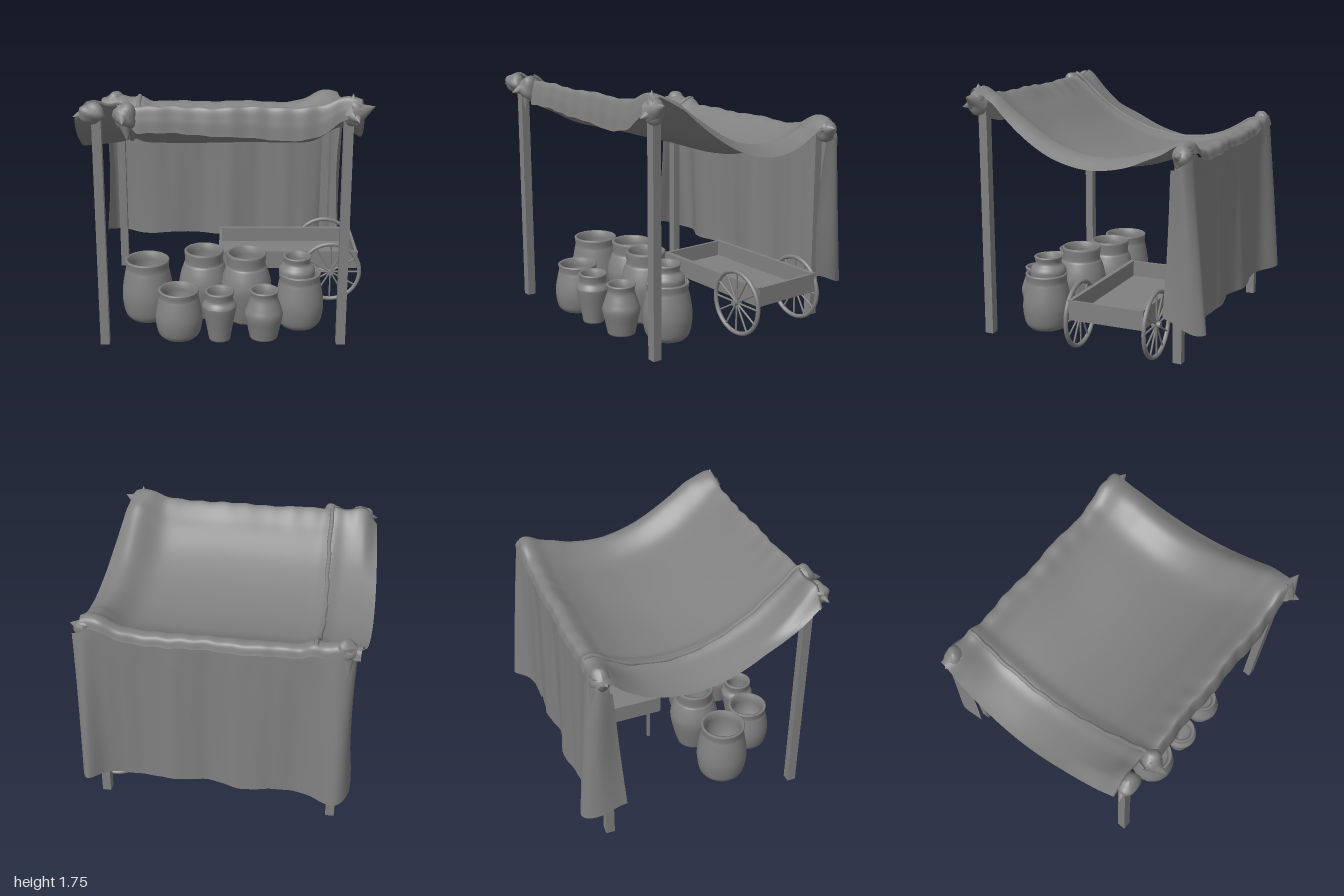
import * as THREE from 'three';

const COLOR = 0x808080;
const grey = new THREE.MeshStandardMaterial({ color: COLOR });
const greyThin = new THREE.MeshStandardMaterial({ color: COLOR, side: THREE.DoubleSide });
const { lerp, smoothstep, clamp } = THREE.MathUtils;
const bump = (d, w) => Math.exp(-(d * d) / (w * w));
const v3 = (x, y, z) => new THREE.Vector3(x, y, z);

function add(parent, name, geometry, x = 0, y = 0, z = 0, material = grey) {
  const m = new THREE.Mesh(geometry, material);
  m.name = name;
  m.position.set(x, y, z);
  parent.add(m);
  return m;
}
const box = (parent, name, w, h, d, x, y, z) => add(parent, name, new THREE.BoxGeometry(w, h, d), x, y, z);

// Cloth sheet: a grid whose points follow a rule fn(u, v)
function cloth(parent, name, nu, nv, fn) {
  const g = new THREE.PlaneGeometry(1, 1, nu, nv);
  const p = g.attributes.position;
  for (let i = 0; i < p.count; i++) {
    const q = fn(p.getX(i) + 0.5, 0.5 - p.getY(i));
    p.setXYZ(i, q.x, q.y, q.z);
  }
  g.computeVertexNormals();
  return add(parent, name, g, 0, 0, 0, greyThin);
}

// Front-to-back line of the canopy, starting with the front hem
const sag = new THREE.CatmullRomCurve3([
  [1.5, 0.785], [1.59, 0.775], [1.665, 0.745], [1.555, 0.6], [1.4, 0.4], [1.295, 0.2], [1.24, 0.03],
  [1.215, -0.15], [1.24, -0.4], [1.305, -0.58], [1.365, -0.695], [1.355, -0.75], [1.3, -0.77],
].map(([y, z]) => v3(0, y, z)));

function canopyPoint(u, v) {
  const q = sag.getPoint(v);
  const round = Math.max(0, 1 - (q.z / 0.77) ** 2);
  const x = lerp(-0.95 - 0.05 * round, 0.84 + 0.1 * round, u);
  let { y, z } = q;
  // left of the seam the front hem is pulled up; further right it hangs lower
  const left = 1 - smoothstep(x, -0.7, -0.55);
  if (v < 0.17) {
    y = lerp(y, 1.64, left);
    z = lerp(z, 0.72, left);
    y += (1 - v / 0.17) * (0.06 * smoothstep(x, 0.55, 0.8) - 0.04 * bump(x - 0.35, 0.35));
  }
  // ridges along seam and right side, with drooping edges
  const inner = 1 - 0.85 * smoothstep(z, 0.55, 0.75) - 0.7 * smoothstep(-z, 0.45, 0.7);
  y += 0.03 * bump(x + 0.65, 0.06) + (0.11 + 0.03 * bump(z - 0.4, 0.2)) * bump(x - 0.8, 0.14) * inner;
  y -= 0.02 * smoothstep(-x, 0.7, 1) * round;
  y -= 0.1 * smoothstep(-x, 0.87, 0.97) * smoothstep(z, 0.3, 0.75);
  // lifted by the posts, wrinkled along front and back
  for (const px of [-0.82, 0.77]) {
    y += 0.045 * bump(Math.hypot(x - px, z - 0.71), 0.12) + 0.055 * bump(Math.hypot(x - px, z + 0.7), 0.15);
  }
  const ends = smoothstep(Math.abs(z), 0.55, 0.76);
  y += ends * (0.006 * Math.sin(11 * x) + 0.003 * Math.sin(37 * x + 1)) + 0.003 * Math.sin(7 * x + 5 * z);
  z += ends * (0.006 * Math.sin(13 * x + 2) + 0.003 * Math.sin(41 * x));
  return v3(x, y, z);
}

// Curtain outlines in plan: wrapped round the back posts, flaring to the hem
const plan = (pts) => new THREE.CatmullRomCurve3(pts.map(([x, z]) => v3(x, 0, z)), false, 'centripetal');
const curtainTop = plan([[-0.93, -0.66], [-0.92, -0.74], [-0.84, -0.775], [-0.6, -0.755], [-0.25, -0.76], [0, -0.75],
  [0.25, -0.76], [0.5, -0.75], [0.7, -0.76], [0.84, -0.775], [0.91, -0.74], [0.89, -0.66]]);
const curtainHem = plan([[-0.94, -0.585], [-0.935, -0.78], [-0.85, -0.88], [-0.6, -0.775], [-0.25, -0.81], [0, -0.76],
  [0.25, -0.79], [0.5, -0.765], [0.7, -0.795], [0.84, -0.885], [0.895, -0.8], [0.88, -0.61]]);

function curtainPoint(u, v) {
  const p = curtainTop.getPoint(u).lerp(curtainHem.getPoint(u), Math.pow(v, 0.85));
  const wrap = clamp(bump(u, 0.09) + bump(u - 1, 0.07), 0, 1);
  const top = 1.325 + 0.06 * (bump(p.x + 0.82, 0.1) + bump(p.x - 0.77, 0.1)) - 0.05 * wrap;
  p.y = lerp(top, 0.255 + 0.085 * wrap + 0.006 * Math.sin(11 * p.x), v);
  p.z += (0.004 * Math.sin(17 * p.x + 1.5 * v) + 0.002 * Math.sin(43 * p.x)) * (1 - wrap) * smoothstep(v, 0, 0.2);
  p.x -= Math.sign(p.x) * wrap * 0.025 * Math.sin(Math.PI * v);
  return p;
}

// Cloth draped and gathered round a post top
function bunch(parent, name, seed, x, y, z, sx, sy, sz) {
  const g = new THREE.SphereGeometry(1, 18, 12);
  const p = g.attributes.position;
  for (let i = 0; i < p.count; i++) {
    const a = v3(p.getX(i), p.getY(i), p.getZ(i));
    const f = 0.88 + 0.07 * Math.sin(4 * a.x + seed) * Math.sin(3 * a.z + 2 * seed) + 0.06 * Math.sin(5 * a.y + 3 * a.x + seed);
    p.setXYZ(i, a.x * f * sx, a.y * f * sy, a.z * f * sz);
  }
  g.computeVertexNormals();
  add(parent, name, g, x, y, z);
}

// Loose corner of cloth: a folded, pointed flap
function corner(parent, from, tip, r) {
  const dir = tip.clone().sub(from);
  const m = add(parent, 'clothCorner', new THREE.ConeGeometry(r, dir.length(), 9, 2, true), 0, 0, 0, greyThin);
  m.position.copy(from).addScaledVector(dir, 0.5);
  m.quaternion.setFromUnitVectors(v3(0, 1, 0), dir.normalize());
}

// Open jar: outer profile of [radius, height], then back down inside
function jar(parent, name, x, z, profile) {
  const spline = new THREE.SplineCurve(profile.map(([r, y]) => new THREE.Vector2(r, y)));
  const outer = spline.getPoints(28);
  const [rim, top] = profile[profile.length - 1];
  const base = profile[0][1];
  const inner = [[rim - 0.008, top + 0.006], [rim - 0.022, top], [rim - 0.032, top - 0.05], [rim - 0.02, lerp(base, top, 0.5)], [0, base + 0.03]];
  const pts = [new THREE.Vector2(0, base), ...outer, ...inner.map(([r, y]) => new THREE.Vector2(r, y))];
  add(parent, name, new THREE.LatheGeometry(pts, 32), x, 0, z, greyThin);
}

function wheel(parent, name, x, y, z) {
  const w = new THREE.Group();
  w.name = name;
  w.position.set(x, y, z);
  add(w, 'rim', new THREE.TorusGeometry(0.215, 0.015, 8, 40));
  add(w, 'hub', new THREE.CylinderGeometry(0.02, 0.02, 0.06, 14).rotateX(Math.PI / 2));
  for (let i = 0; i < 12; i++) {
    const spoke = new THREE.CylinderGeometry(0.007, 0.007, 0.19, 6).translate(0, 0.115, 0);
    add(w, 'spoke', spoke).rotation.z = (i * Math.PI) / 6;
  }
  parent.add(w);
}

export function createModel() {
  const model = new THREE.Group();
  model.name = 'marketStall';

  // Posts
  for (const x of [-0.82, 0.77]) {
    box(model, 'frontPost', 0.06, 1.63, 0.06, x, 0.835, 0.71);
    box(model, 'backPost', 0.06, 1.36, 0.06, x, 0.7, -0.68);
  }

  // Canopy, seam roll and back curtain
  cloth(model, 'canopy', 110, 96, canopyPoint);
  cloth(model, 'backCurtain', 130, 40, curtainPoint);
  const seam = [];
  for (let i = 0; i <= 24; i++) {
    const q = canopyPoint(0.165, 0.17 + (0.73 * i) / 24);
    seam.push(q.setX(-0.67 + 0.04 * smoothstep(q.z, -0.2, 0.7) + 0.004 * Math.sin(i * 2.1)));
  }
  add(model, 'canopySeam', new THREE.TubeGeometry(new THREE.CatmullRomCurve3(seam), 60, 0.016, 7));

  // Gathered cloth at the four corners
  bunch(model, 'frontRightBunch', 1, -0.84, 1.63, 0.76, 0.1, 0.075, 0.07);
  bunch(model, 'seamBunch', 2, -0.63, 1.61, 0.77, 0.075, 0.1, 0.08);
  bunch(model, 'frontLeftBunch', 4, 0.8, 1.62, 0.735, 0.08, 0.1, 0.065);
  bunch(model, 'backRightBunch', 3, -0.86, 1.36, -0.715, 0.085, 0.09, 0.075);
  bunch(model, 'backLeftBunch', 5, 0.82, 1.36, -0.715, 0.085, 0.09, 0.075);
  corner(model, v3(-0.84, 1.64, 0.74), v3(-0.96, 1.61, 0.78), 0.06);
  corner(model, v3(-0.64, 1.62, 0.77), v3(-0.62, 1.46, 0.81), 0.065);
  corner(model, v3(-0.65, 1.62, 0.77), v3(-0.64, 1.59, 0.9), 0.065);
  corner(model, v3(0.79, 1.62, 0.74), v3(0.79, 1.75, 0.74), 0.07);
  corner(model, v3(0.8, 1.62, 0.74), v3(0.93, 1.67, 0.75), 0.08);
  corner(model, v3(0.79, 1.62, 0.74), v3(0.82, 1.59, 0.85), 0.065);
  for (const [x, s] of [[-0.86, -1], [0.82, 1]]) {
    corner(model, v3(x, 1.36, -0.71), v3(x + s * 0.11, 1.38, -0.7), 0.07);
    corner(model, v3(x, 1.38, -0.71), v3(x + s * 0.02, 1.2, -0.79), 0.07);
  }

  // Hand cart
  const cart = new THREE.Group();
  cart.name = 'cart';
  model.add(cart);
  box(cart, 'cartFloor', 1.0, 0.02, 0.5, 0.455, 0.28, -0.255);
  for (const z of [-0.005, -0.505]) {
    box(cart, 'cartSide', 1.015, 0.13, 0.02, 0.455, 0.335, z);
    box(cart, 'cartRail', 1.02, 0.012, 0.03, 0.455, 0.398, z);
  }
  for (const x of [-0.045, 0.955]) box(cart, 'cartEnd', 0.02, 0.13, 0.5, x, 0.335, -0.255);
  for (const z of [-0.07, -0.445]) box(cart, 'cartLeg', 0.022, 0.28, 0.022, 0.01, 0.14, z);
  wheel(cart, 'frontWheel', 0.765, 0.25, 0.02);
  wheel(cart, 'backWheel', 0.765, 0.25, -0.525);

  // Jars
  const scaled = (r, h, pts) => pts.map(([a, b]) => [a * r, 0.02 + b * (h - 0.02)]);
  const round = (r, h) => scaled(r, h, [[0.72, 0], [0.9, 0.1], [1, 0.34], [0.98, 0.55], [0.88, 0.79], [0.84, 0.88], [0.87, 1]]);
  const tall = (r, h) => scaled(r, h, [[0.68, 0], [0.84, 0.2], [1, 0.48], [0.96, 0.64], [0.83, 0.79], [0.77, 0.84], [0.8, 1]]);
  jar(model, 'largeRoundJar', -0.56, 0.28, round(0.18, 0.455));
  jar(model, 'smallRoundJar', -0.325, 0.59, round(0.16, 0.36));
  jar(model, 'tallJar', -0.16, 0.23, tall(0.175, 0.505));
  jar(model, 'tallJar', 0.14, 0.32, tall(0.175, 0.52));
  jar(model, 'shoulderedJar', -0.047, 0.64, [[0.073, 0.02], [0.09, 0.12], [0.115, 0.25], [0.112, 0.28], [0.092, 0.315], [0.1, 0.37]]);
  jar(model, 'angularJar', 0.255, 0.61, [[0.095, 0.02], [0.112, 0.1], [0.13, 0.19], [0.115, 0.25], [0.093, 0.32], [0.1, 0.365]]);
  jar(model, 'sideRoundJar', 0.51, 0.41, round(0.168, 0.41));
  jar(model, 'nestedJar', 0.49, 0.405, [[0.08, 0.15], [0.11, 0.3], [0.126, 0.41], [0.118, 0.45], [0.09, 0.485], [0.098, 0.53]]);
  return model;
}
